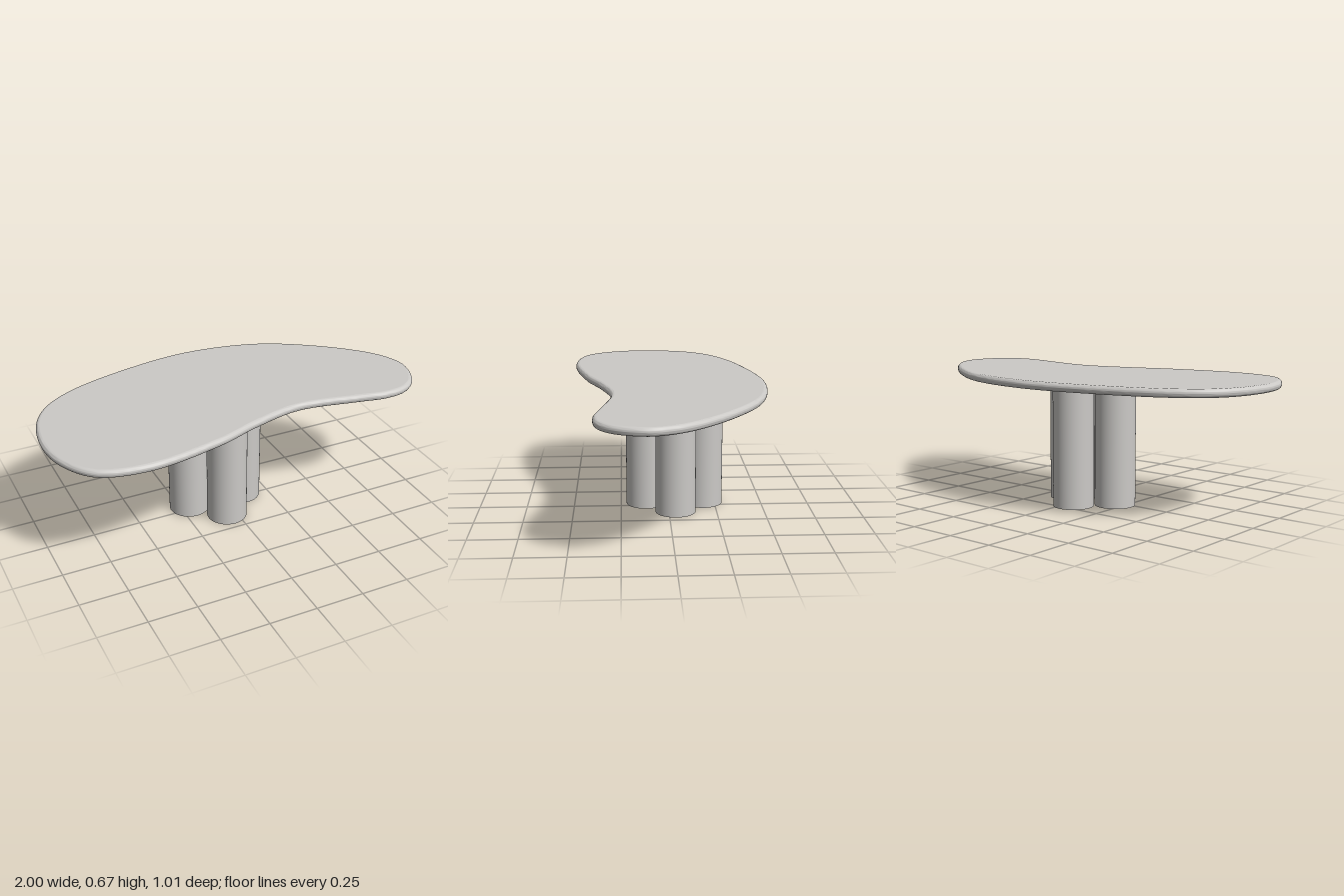
import * as THREE from 'three';
import { toCreasedNormals } from 'three/addons/utils/BufferGeometryUtils.js';

const TOP_Y = 0.672, UNDER_Y = 0.63, EDGE = 0.02;

// Kidney outline of the table top as x, z pairs
const OUTLINE = [
  [-1, 0.14], [-0.97, -0.09], [-0.885, -0.235], [-0.72, -0.35], [-0.395, -0.455], [0, -0.51],
  [0.39, -0.445], [0.67, -0.29], [0.89, -0.1], [0.97, 0.015], [1, 0.13], [0.95, 0.28],
  [0.86, 0.355], [0.74, 0.372], [0.59, 0.345], [0.27, 0.294], [0, 0.355], [-0.21, 0.43],
  [-0.61, 0.5], [-0.85, 0.445], [-0.957, 0.31],
];

function tableTopGeometry() {
  const curve = new THREE.CatmullRomCurve3(
    OUTLINE.map(([x, z]) => new THREE.Vector3(x, -z, 0)), true, 'centripetal');
  const points = curve.getSpacedPoints(180).slice(0, -1).map((p) => new THREE.Vector2(p.x, p.y));
  const extruded = new THREE.ExtrudeGeometry(new THREE.Shape(points), {
    depth: TOP_Y - UNDER_Y - 2 * EDGE,
    bevelEnabled: true, bevelThickness: EDGE, bevelSize: EDGE, bevelOffset: -EDGE, bevelSegments: 7,
  });
  extruded.rotateX(-Math.PI / 2);
  extruded.translate(0, UNDER_Y + EDGE, 0);
  const geometry = toCreasedNormals(extruded, 0.7);

  // Keep the two flat faces evenly shaded up to the rounded rim
  const { position, normal } = geometry.attributes;
  const middle = (TOP_Y + UNDER_Y) / 2;
  const lids = extruded.groups[0];
  for (let i = lids.start; i < lids.start + lids.count; i++) {
    normal.setXYZ(i, 0, position.getY(i) > middle ? 1 : -1, 0);
  }
  geometry.clearGroups();
  return geometry;
}

export function createModel() {
  const table = new THREE.Group();
  table.name = 'table';
  const stone = new THREE.MeshStandardMaterial({ color: 0xcccac7 });
  stone.name = 'pale warm grey';

  const top = new THREE.Mesh(tableTopGeometry(), stone);
  top.name = 'tableTop';
  table.add(top);

  // Base: four thick columns clustered in a diamond
  const base = new THREE.Group();
  base.name = 'base';
  base.position.set(-0.047, 0, -0.035);
  const column = new THREE.CylinderGeometry(0.105, 0.105, UNDER_Y, 64);
  const names = ['leftColumn', 'frontColumn', 'rightColumn', 'backColumn'];
  names.forEach((name, i) => {
    const angle = (i * Math.PI) / 2;
    const leg = new THREE.Mesh(column, stone);
    leg.name = name;
    leg.position.set(0.152 * Math.cos(angle), UNDER_Y / 2, 0.151 * Math.sin(angle));
    base.add(leg);
  });
  table.add(base);
  return table;
}
